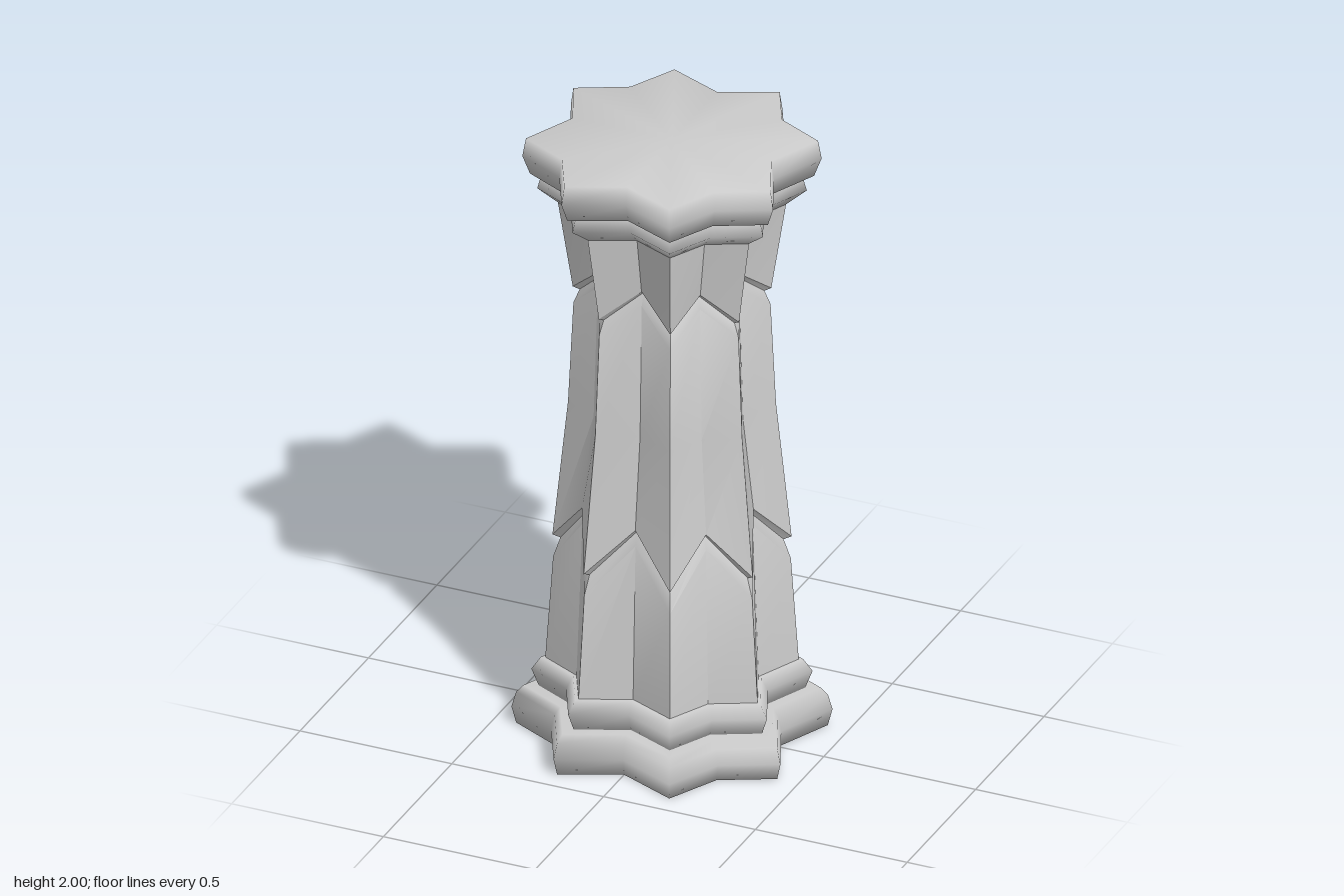
import * as THREE from 'three';
import { toCreasedNormals } from 'three/addons/utils/BufferGeometryUtils.js';

// Point i of 16 around the eight-pointed star, for a tip that reaches out by "reach"
function starPoint(i, reach) {
  const quarter = Math.floor(i / 4) * Math.PI / 2;
  const [radius, angle] = [
    [0.813, 0],
    [1.0885, Math.atan(0.43)],
    [0.877, Math.PI / 4],
    [1.0885, Math.PI / 2 - Math.atan(0.43)],
  ][i % 4];
  const a = quarter + angle;
  return [Math.sin(a) * radius * reach, Math.cos(a) * radius * reach];
}

// Closed star loft; each row is [height at tips, height at valleys, reach]
function starLoft(rows) {
  const n = 16, pos = [], index = [];
  rows.forEach(([yTip, yValley, reach]) => {
    for (let i = 0; i < n; i++) {
      const [x, z] = starPoint(i, reach);
      pos.push(x, i % 2 ? yTip : yValley, z);
    }
  });
  const top = rows.length - 1, bottomCentre = rows.length * n, topCentre = bottomCentre + 1;
  pos.push(0, rows[0][1], 0, 0, rows[top][1], 0);
  for (let i = 0; i < n; i++) {
    const j = (i + 1) % n;
    for (let r = 0; r < top; r++) {
      const a = r * n + i, b = r * n + j;
      index.push(a, b, b + n, a, b + n, a + n);
    }
    index.push(bottomCentre, j, i, topCentre, top * n + i, top * n + j);
  }
  const g = new THREE.BufferGeometry();
  g.setAttribute('position', new THREE.Float32BufferAttribute(pos, 3));
  g.setIndex(index);
  g.computeVertexNormals();
  return g;
}

const level = (y, reach) => [y, y, reach];

export function createModel() {
  const model = new THREE.Group();
  const stone = new THREE.MeshStandardMaterial({ color: 0xcccccc });
  stone.name = 'stone';

  function add(name, geometry) {
    const mesh = new THREE.Mesh(geometry, stone);
    mesh.name = name;
    model.add(mesh);
  }

  // Rounded star slabs at the foot and the head
  add('basePlinth', starLoft([level(0, 0.43), level(0.055, 0.443), level(0.105, 0.43), level(0.128, 0.41)]));
  add('baseMoulding', starLoft([level(0.12, 0.365), level(0.185, 0.388), level(0.225, 0.362)]));
  add('capitalMoulding', starLoft([level(1.782, 0.315), level(1.83, 0.372), level(1.885, 0.358)]));
  add('capitalSlab', starLoft([level(1.88, 0.392), level(1.94, 0.413), level(2, 0.403)]));

  // Fluted shaft in three tiers with zigzag chamfered seams
  const shaft = starLoft([
    level(0.22, 0.35),
    [0.57, 0.74, 0.328],
    [0.635, 0.785, 0.308],
    [0.645, 0.795, 0.33],
    level(1.1, 0.287),
    [1.44, 1.54, 0.272],
    [1.485, 1.58, 0.255],
    [1.495, 1.59, 0.274],
    level(1.79, 0.316),
  ]);
  add('shaft', toCreasedNormals(shaft, 0.5));

  return model;
}
